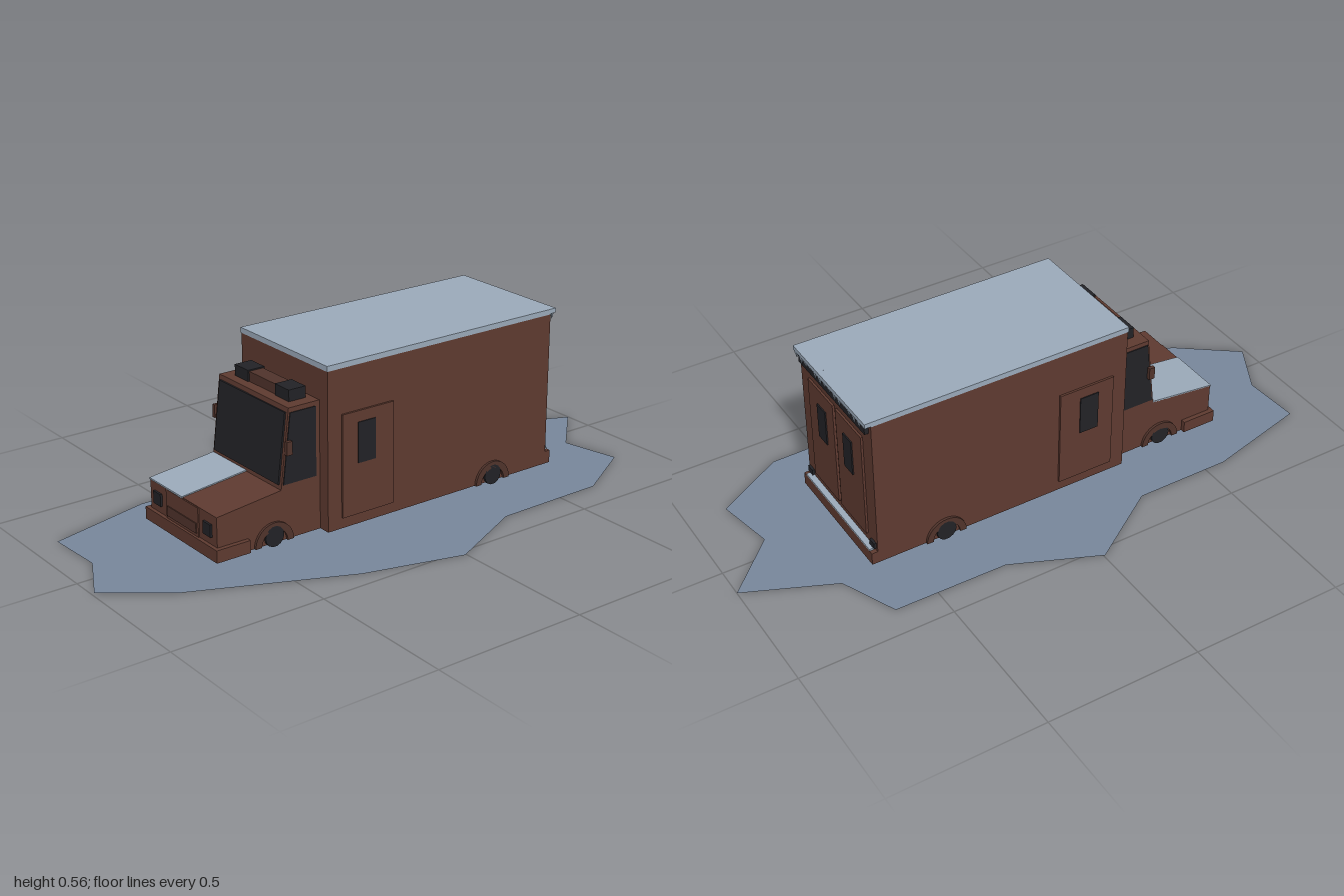
import * as THREE from 'three';

const mat = (color) => new THREE.MeshStandardMaterial({ color });
const paint = mat(0x5e3a30), trim = mat(0x50332b), dark = mat(0x222226), snow = mat(0x9aa9b9);
const ground = mat(0x77869a);
ground.side = THREE.DoubleSide;

export function createModel() {
  const root = new THREE.Group();
  root.name = 'vanOnSnow';
  const van = new THREE.Group();
  van.name = 'van';
  van.position.x = -0.01;
  root.add(van);

  const add = (name, geo, material) => {
    const m = new THREE.Mesh(geo, material);
    m.name = name;
    van.add(m);
    return m;
  };
  // box given by its min and max on each axis
  const box = (name, x0, x1, y0, y1, z0, z1, material) => {
    const m = add(name, new THREE.BoxGeometry(x1 - x0, y1 - y0, z1 - z0), material);
    m.position.set((x0 + x1) / 2, (y0 + y1) / 2, (z0 + z1) / 2);
    return m;
  };
  // side profile of [z, y] points, swept from x0 to x1
  const sweep = (name, shape, x0, x1, material) => {
    const s = Array.isArray(shape) ? new THREE.Shape(shape.map(([z, y]) => new THREE.Vector2(z, y))) : shape;
    const geo = new THREE.ExtrudeGeometry(s, { depth: x1 - x0, bevelEnabled: false, curveSegments: 10 });
    geo.rotateY(-Math.PI / 2).translate(x1, 0, 0);
    return add(name, geo, material);
  };

  // cargo box and snowy roof
  box('cargoBox', -0.22, 0.22, 0.03, 0.54, -0.6, 0.27, paint);
  box('roofSnow', -0.222, 0.222, 0.538, 0.555, -0.6, 0.272, snow);

  // cab with sloping hood
  sweep('cab', [[0.26, 0.03], [0.635, 0.03], [0.635, 0.165], [0.41, 0.19], [0.38, 0.44], [0.26, 0.44]], -0.18, 0.18, paint);
  sweep('hoodSnow', [[0.41, 0.188], [0.638, 0.163], [0.638, 0.168], [0.41, 0.194]], -0.18, 0, snow);
  sweep('windshield', [[0.405, 0.205], [0.414, 0.205], [0.387, 0.425], [0.378, 0.425]], -0.17, 0.17, dark);

  // roof light bar
  box('lightBarBase', -0.08, 0.08, 0.44, 0.472, 0.295, 0.345, trim);
  for (const s of [-1, 1]) {
    box('roofLight', s * 0.105 - 0.035, s * 0.105 + 0.035, 0.438, 0.476, 0.29, 0.35, dark);
  }

  // nose
  box('grillePanel', -0.087, 0.087, 0.065, 0.163, 0.63, 0.639, paint);
  box('grille', -0.078, 0.078, 0.08, 0.112, 0.63, 0.642, trim);
  box('frontBumper', -0.195, 0.195, 0.03, 0.07, 0.53, 0.647, paint);

  // rear bumper, light strip and icicles
  box('rearBumper', -0.22, 0.22, 0.03, 0.072, -0.62, -0.59, paint);
  box('bumperSnow', -0.205, 0.205, 0.071, 0.078, -0.62, -0.6, snow);
  box('rearLightStrip', -0.205, 0.205, 0.505, 0.535, -0.613, -0.6, dark);
  box('rearEdgeSnow', -0.222, 0.222, 0.54, 0.555, -0.62, -0.6, snow);
  for (let i = 0; i < 15; i++) {
    const len = 0.012 + 0.018 * Math.abs(Math.sin(i * 2.3));
    const icicle = add('icicle', new THREE.ConeGeometry(0.007, len, 5), snow);
    icicle.rotation.x = Math.PI;
    icicle.position.set(-0.21 + i * 0.03, 0.541 - len / 2, -0.615);
  }

  // half ring over a wheel
  const arch = (z) => {
    const s = new THREE.Shape();
    s.absarc(z, 0.03, 0.068, 0, Math.PI, false);
    s.absarc(z, 0.03, 0.046, Math.PI, 0, true);
    return s;
  };

  for (const s of [-1, 1]) {
    // block mirrored across the middle, a and b measured outward
    const side = (name, a, b, ...rest) => box(name, Math.min(s * a, s * b), Math.max(s * a, s * b), ...rest);
    const sweepSide = (name, shape, a, b, m) => sweep(name, shape, Math.min(s * a, s * b), Math.max(s * a, s * b), m);

    side('headlight', 0.115, 0.155, 0.095, 0.135, 0.63, 0.642, dark);
    side('sideDoor', 0.215, 0.227, 0.065, 0.395, 0.03, 0.22, paint);
    side('sideDoorWindow', 0.22, 0.23, 0.23, 0.36, 0.1, 0.165, dark);
    sweepSide('cabWindow', [[0.285, 0.205], [0.403, 0.205], [0.376, 0.425], [0.285, 0.425]], 0.17, 0.183, dark);
    side('mirrorArm', 0.175, 0.19, 0.31, 0.32, 0.38, 0.39, trim);
    side('mirror', 0.184, 0.196, 0.3, 0.342, 0.378, 0.398, trim);
    side('rearDoor', 0.008, 0.165, 0.105, 0.465, -0.607, -0.59, paint);
    side('rearDoorWindow', 0.055, 0.107, 0.29, 0.41, -0.611, -0.6, dark);
    side('tailLight', 0.185, 0.213, 0.08, 0.1, -0.608, -0.595, dark);

    // wheels and arches, front pair under the narrower cab
    for (const [z, w] of [[0.44, 0.18], [-0.37, 0.22]]) {
      sweepSide('wheelArch', arch(z), w - 0.01, w + 0.008, trim);
      const wheel = add('wheel', new THREE.CylinderGeometry(0.033, 0.033, 0.07, 14), dark);
      wheel.rotation.z = Math.PI / 2;
      wheel.position.set(s * (w - 0.027), 0.054, z);
    }
  }

  // jagged patch of snow under the van, [x, z] outline
  const outline = [
    [-0.1, -1], [0.07, -0.83], [0.26, -0.87], [0.39, -0.645], [0.395, -0.27], [0.525, 0.005],
    [0.44, 0.32], [0.225, 0.8], [0.08, 0.99], [-0.09, 0.9], [-0.28, 0.91], [-0.365, 0.57],
    [-0.365, 0.255], [-0.53, 0.005], [-0.41, -0.27], [-0.405, -0.64], [-0.225, -0.72],
  ];
  const patch = new THREE.Mesh(
    new THREE.ShapeGeometry(new THREE.Shape(outline.map(([x, z]) => new THREE.Vector2(x, -z)))), ground);
  patch.geometry.rotateX(-Math.PI / 2);
  patch.name = 'groundPatch';
  root.add(patch);
  return root;
}
